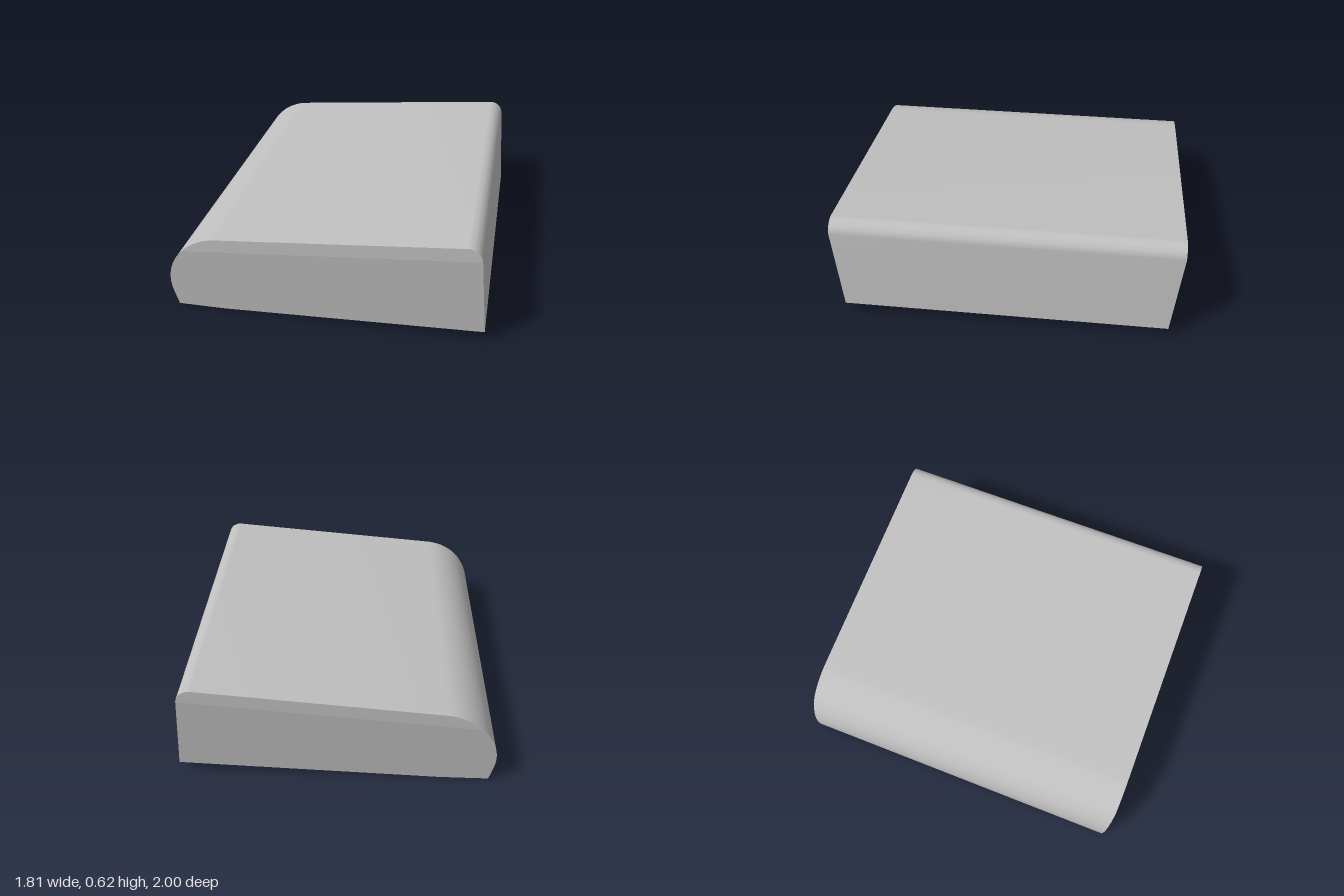
import * as THREE from 'three';
import { toCreasedNormals } from 'three/addons/utils/BufferGeometryUtils.js';

const RAD = Math.PI / 180;

// Points along an arc, angles in degrees
function arc(cx, cy, r, from, to, steps) {
  return Array.from({ length: steps + 1 }, (_, i) => {
    const a = (from + (to - from) * i / steps) * RAD;
    return [cx + r * Math.cos(a), cy + r * Math.sin(a)];
  });
}

// Half width: straight band above a sloped line, tapering inward below it
function halfWidth([x, y]) {
  const line = 0.4 + 0.0878 * (x + 0.81);
  return 1 - 0.1 * Math.max(0, line - y);
}

function geometryFrom(positions) {
  const g = new THREE.BufferGeometry();
  g.setAttribute('position', new THREE.Float32BufferAttribute(positions, 3));
  g.computeVertexNormals();
  return g;
}

export function createModel() {
  const group = new THREE.Group();
  group.name = 'wedgeBlock';
  const grey = new THREE.MeshStandardMaterial({ color: 0xc0c0c0 });
  grey.name = 'light grey';

  // Cross-section, counter-clockwise: the band and the tapered part share two points
  const smallArc = arc(0.785, 0.54, 0.08, 5, 95, 16);
  const upperArc = arc(-0.573, 0.163, 0.335, 95, 135, 14);
  const lowerArc = arc(-0.573, 0.163, 0.335, 135, 192, 20);
  const band = [...smallArc, ...upperArc];
  const taper = [...lowerArc, [-0.88, 0], [-0.6, 0], [0.907, 0.06], smallArc[0]];
  const profile = [...band, ...taper.slice(1, -1)];

  // Outer skin across the width
  const skin = [];
  profile.forEach((a, i) => {
    const b = profile[(i + 1) % profile.length];
    const wa = halfWidth(a), wb = halfWidth(b);
    skin.push(...a, wa, ...a, -wa, ...b, -wb, ...a, wa, ...b, -wb, ...b, wb);
  });
  const shell = new THREE.Mesh(toCreasedNormals(geometryFrom(skin), 0.3), grey);
  shell.name = 'shell';
  group.add(shell);

  // Flat side faces, front and back
  for (const side of [1, -1]) {
    for (const [name, loop] of [['upperSideBand', band], ['taperedSide', taper]]) {
      const faces = [];
      for (let i = 1; i < loop.length - 1; i++) {
        const tri = [loop[0], loop[i], loop[i + 1]];
        if (side < 0) tri.reverse();
        for (const p of tri) faces.push(...p, side * halfWidth(p));
      }
      const mesh = new THREE.Mesh(geometryFrom(faces), grey);
      mesh.name = (side > 0 ? 'front' : 'back') + name[0].toUpperCase() + name.slice(1);
      group.add(mesh);
    }
  }
  return group;
}
